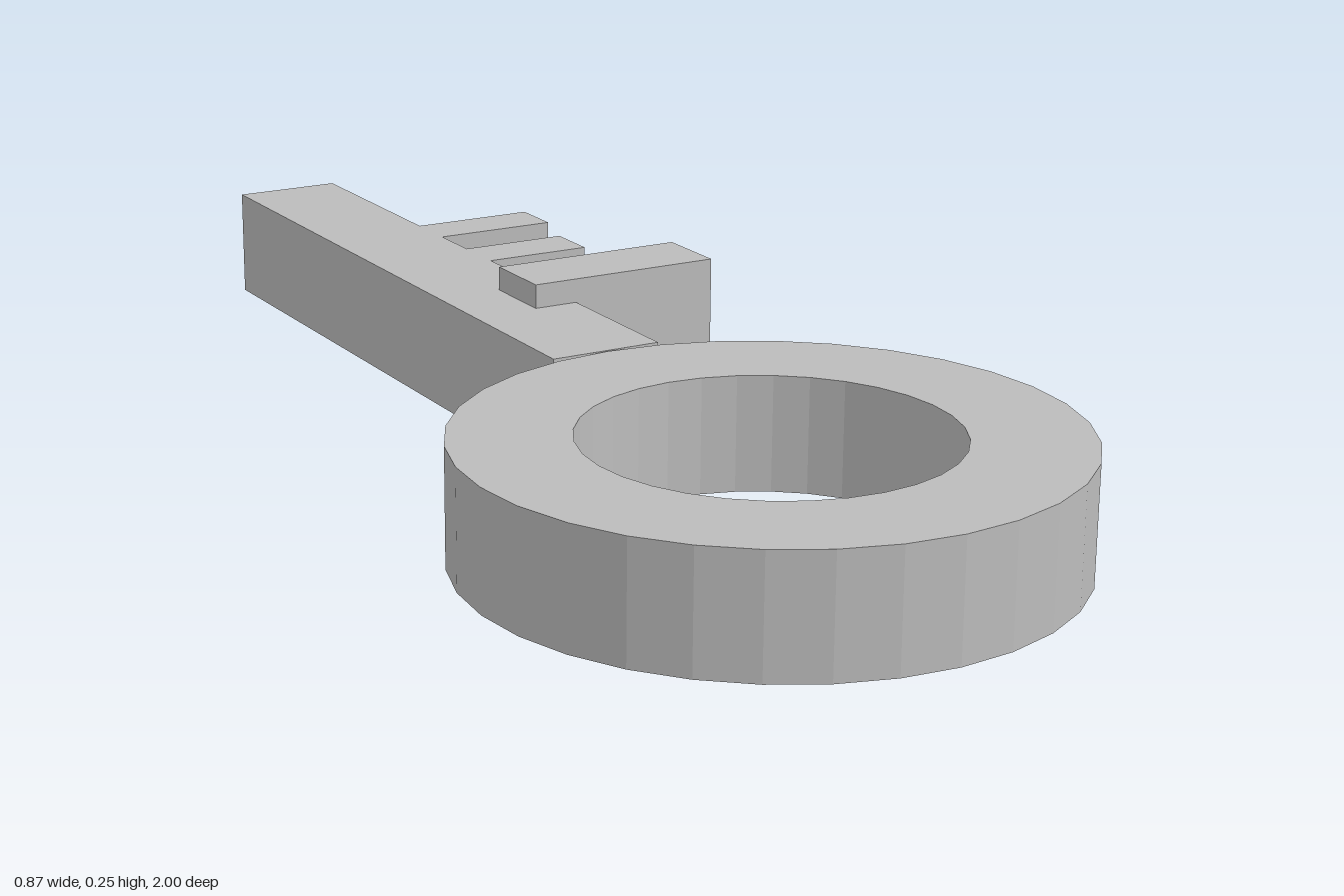
import * as THREE from 'three';

export function createModel() {
  const key = new THREE.Group();
  key.name = 'key';
  const metal = new THREE.MeshStandardMaterial({ name: 'grey metal', color: 0xbcbcbc, flatShading: true });

  const bottom = 0.038, top = 0.211;

  // Box given by its lower and upper limits on each axis
  function addBox(name, [x0, x1], [y0, y1], [z0, z1]) {
    const mesh = new THREE.Mesh(new THREE.BoxGeometry(x1 - x0, y1 - y0, z1 - z0), metal);
    mesh.position.set((x0 + x1) / 2, (y0 + y1) / 2, (z0 + z1) / 2);
    mesh.name = name;
    key.add(mesh);
  }

  // Ring handle: 32-sided flat annulus
  const outline = new THREE.Shape().absarc(0, 0, 0.433, 0, Math.PI * 2, false);
  outline.holes.push(new THREE.Path().absarc(0, 0, 0.262, 0, Math.PI * 2, true));
  const ringGeometry = new THREE.ExtrudeGeometry(outline, {
    depth: top - bottom, bevelEnabled: false, curveSegments: 16,
  });
  ringGeometry.rotateX(-Math.PI / 2);
  const ring = new THREE.Mesh(ringGeometry, metal);
  ring.name = 'ringHandle';
  ring.position.set(0, bottom, 0.567);
  key.add(ring);

  // Square shaft, butting against the ring
  addBox('shaft', [-0.087, 0.087], [bottom, top], [-1, 0.13]);

  // Two thin teeth and one taller bit, all on the left side
  addBox('endTooth', [0.087, 0.287], [bottom, top], [-0.651, -0.567]);
  addBox('middleTooth', [0.087, 0.26], [bottom, top], [-0.479, -0.394]);
  addBox('tallBit', [0.017, 0.329], [0, 0.248], [-0.233, -0.114]);

  return key;
}
